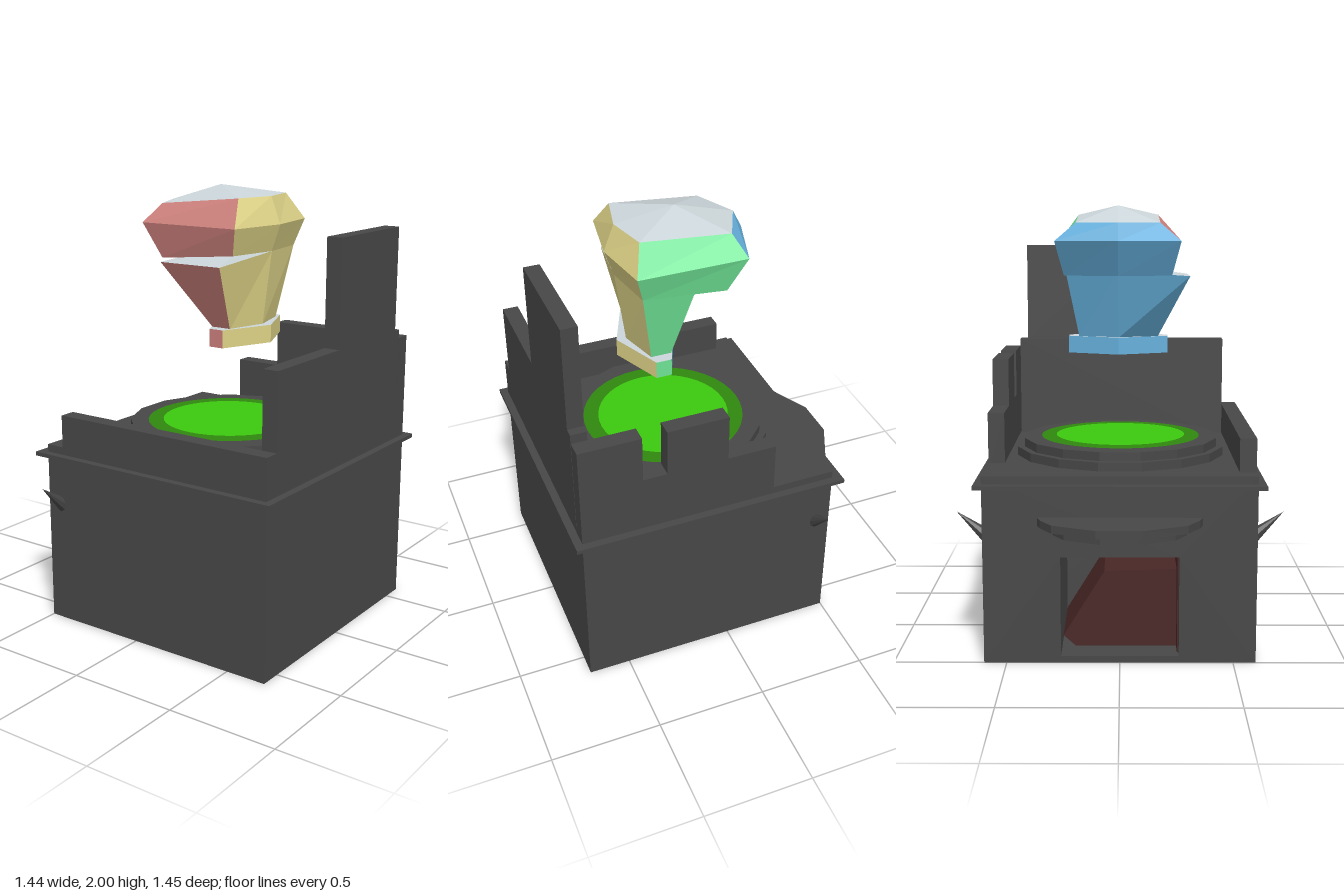
import * as THREE from 'three';

const mat = (name, color) => Object.assign(new THREE.MeshStandardMaterial({ color }), { name });
const stone = mat('charcoal stone', 0x474747);
const ember = mat('ember red', 0x4a2626);
const slime = mat('bright green', 0x3cca0f);
const slimeEdge = mat('dark green', 0x30880f);
const yellow = mat('yellow', 0xdfd488);
const green = mat('green', 0x6ee294);
const blue = mat('blue', 0x66b0dc);
const red = mat('red', 0xcc807c);
const grey = mat('light grey', 0xccd6da);
const black = mat('black', 0x222222);

const toShape = (pts) => new THREE.Shape(pts.map(([x, y]) => new THREE.Vector2(x, y)));
const extrude = (shape, depth) => new THREE.ExtrudeGeometry(shape, { depth, bevelEnabled: false });

// Six-sided loft; ring points run front-left, front, front-right, back-right, back, back-left.
const PALETTE = [yellow, green, blue, red, grey, black];
const SIDE = [0, 0, 1, 2, 2, 3];
function hexLoft(rings, apex) {
  const pos = [];
  const geo = new THREE.BufferGeometry();
  const tri = (m, ...pts) => {
    geo.addGroup(pos.length / 3, 3, m);
    pts.forEach((p) => pos.push(...p));
  };
  const centre = (ring) => [0, 1, 2].map((k) => ring.reduce((s, p) => s + p[k], 0) / 6);
  const last = rings[rings.length - 1];
  const low = centre(rings[0]);
  const high = apex || centre(last);
  for (let i = 0; i < 6; i++) {
    const j = (i + 1) % 6;
    for (let r = 0; r + 1 < rings.length; r++) {
      const a = rings[r], b = rings[r + 1];
      tri(SIDE[i], a[i], a[j], b[j]);
      tri(SIDE[i], a[i], b[j], b[i]);
    }
    tri(5, rings[0][j], rings[0][i], low);
    tri(4, last[i], last[j], high);
  }
  geo.setAttribute('position', new THREE.Float32BufferAttribute(pos, 3));
  geo.computeVertexNormals();
  return geo;
}

// Ring from half width, corner and centre depths, and front/back heights.
function hexRing(w, zf, zfc, zb, zbc, yf, yb = yf) {
  const c = 0.01;
  return [[c - w, yf, zf], [c, yf, zfc], [c + w, yf, zf], [c + w, yb, zb], [c, yb, zbc], [c - w, yb, zb]];
}

export function createModel() {
  const model = new THREE.Group();
  const add = (name, geo, material, x = 0, y = 0, z = 0, parent = model) => {
    const mesh = new THREE.Mesh(geo, material);
    mesh.name = name;
    mesh.position.set(x, y, z);
    parent.add(mesh);
    return mesh;
  };
  const box = (name, x0, x1, y0, y1, z0, z1, material = stone) =>
    add(name, new THREE.BoxGeometry(x1 - x0, y1 - y0, z1 - z0), material,
      (x0 + x1) / 2, (y0 + y1) / 2, (z0 + z1) / 2);

  // Hollow furnace with a doorway at the back
  const hull = toShape([[-0.6, 0], [0.6, 0], [0.6, 0.84], [-0.6, 0.84]]);
  hull.holes.push(toShape([[-0.26, 0.03], [-0.26, 0.48], [0.26, 0.48], [0.26, 0.03]]));
  add('furnaceBody', extrude(hull, 0.6), stone, 0, 0, -0.5);
  box('furnaceFront', -0.6, 0.6, 0, 0.84, 0.1, 0.69);
  box('ledge', -0.635, 0.635, 0.787, 0.805, -0.545, 0.725);

  // Ember pile and glowing wall inside
  add('embers', extrude(toShape([[0.2, 0.031], [0.255, 0.08], [0.07, 0.38], [-0.255, 0.39], [-0.255, 0.031]]), 0.4),
    ember, 0, 0, -0.37);
  box('emberWall', -0.26, -0.254, 0.03, 0.48, -0.45, 0.1, ember);

  // Stepped walls around the top
  add('frontWall', extrude(toShape([[-0.525, 0.8], [0.52, 0.8], [0.52, 1.33], [0.48, 1.33], [0.48, 1.81],
    [-0.04, 1.81], [-0.04, 1.33], [-0.525, 1.33]]), 0.072), stone, 0, 0, 0.618);
  const battlement = extrude(toShape([[-0.205, 0.8], [0.69, 0.8], [0.69, 1.29], [0.41, 1.29], [0.41, 1.07],
    [0.3, 1.07], [0.3, 1.29], [0.02, 1.29], [0.02, 1.07], [-0.205, 1.07]]), 0.075);
  battlement.rotateY(-Math.PI / 2);
  add('leftBattlement', battlement, stone, 0.6);
  box('rightWall', -0.6, -0.525, 0.8, 0.99, -0.41, 0.69);

  // Cauldron rim and its liquid
  for (const [name, r, y] of [['lowerRim', 0.492, 0.86], ['upperRim', 0.46, 0.9]]) {
    const geo = new THREE.CylinderGeometry(r, r, 0.04, 16).rotateY(Math.PI / 16).toNonIndexed();
    geo.computeVertexNormals();
    add(name, geo, stone, 0, y, 0.09);
  }
  for (const [name, r, y, m] of [['liquidEdge', 0.375, 0.923, slimeEdge], ['liquid', 0.305, 0.926, slime]]) {
    add(name, new THREE.CircleGeometry(r, 40).rotateX(-Math.PI / 2), m, 0, y, 0.09);
  }

  // Two-layer awning over the doorway
  const arc = [[-0.36, 0], [-0.345, 0.05], [-0.29, 0.14], [-0.1, 0.23], [0.1, 0.23], [0.29, 0.14], [0.345, 0.05], [0.36, 0]];
  for (const [name, s, y] of [['awningTop', 1, 0.623], ['awningBottom', 0.82, 0.587]]) {
    const geo = extrude(toShape(arc.map(([x, z]) => [x * s, z * s])), 0.035).rotateX(-Math.PI / 2);
    add(name, geo, stone, 0, y, -0.5);
  }

  // Side spikes
  for (const side of [-1, 1]) {
    const dir = new THREE.Vector3(side * 0.15, 0.125, 0);
    const geo = new THREE.ConeGeometry(0.036, dir.length(), 8).toNonIndexed();
    geo.computeVertexNormals();
    const spike = add(side > 0 ? 'leftSpike' : 'rightSpike', geo, stone, side * 0.643, 0.607, -0.432);
    spike.quaternion.setFromUnitVectors(new THREE.Vector3(0, 1, 0), dir.normalize());
  }

  // Floating faceted head with collar, tapering neck and jutting jaw
  const head = new THREE.Group();
  head.name = 'floatingHead';
  model.add(head);
  add('collar', hexLoft([
    hexRing(0.235, 0.21, 0.31, 0.14, 0.04, 1.31),
    hexRing(0.235, 0.21, 0.31, 0.14, 0.04, 1.39),
  ]), PALETTE, 0, 0, 0, head);
  const jaw = hexRing(0.245, 0.27, 0.31, 0.04, -0.03, 1.72, 1.7);
  jaw[0] = [-0.32, 1.68, 0.26];
  jaw[5] = [-0.32, 1.68, -0.055];
  add('neckAndJaw', hexLoft([hexRing(0.185, 0.215, 0.265, 0.125, 0.07, 1.385), jaw]), PALETTE, 0, 0, 0, head);
  add('cranium', hexLoft([
    hexRing(0.245, 0.27, 0.31, -0.11, -0.19, 1.72, 1.685),
    hexRing(0.283, 0.305, 0.352, -0.19, -0.278, 1.84),
    hexRing(0.19, 0.26, 0.305, -0.15, -0.238, 1.96, 1.92),
  ], [0.01, 2, 0.035]), PALETTE, 0, 0, 0, head);

  return model;
}
